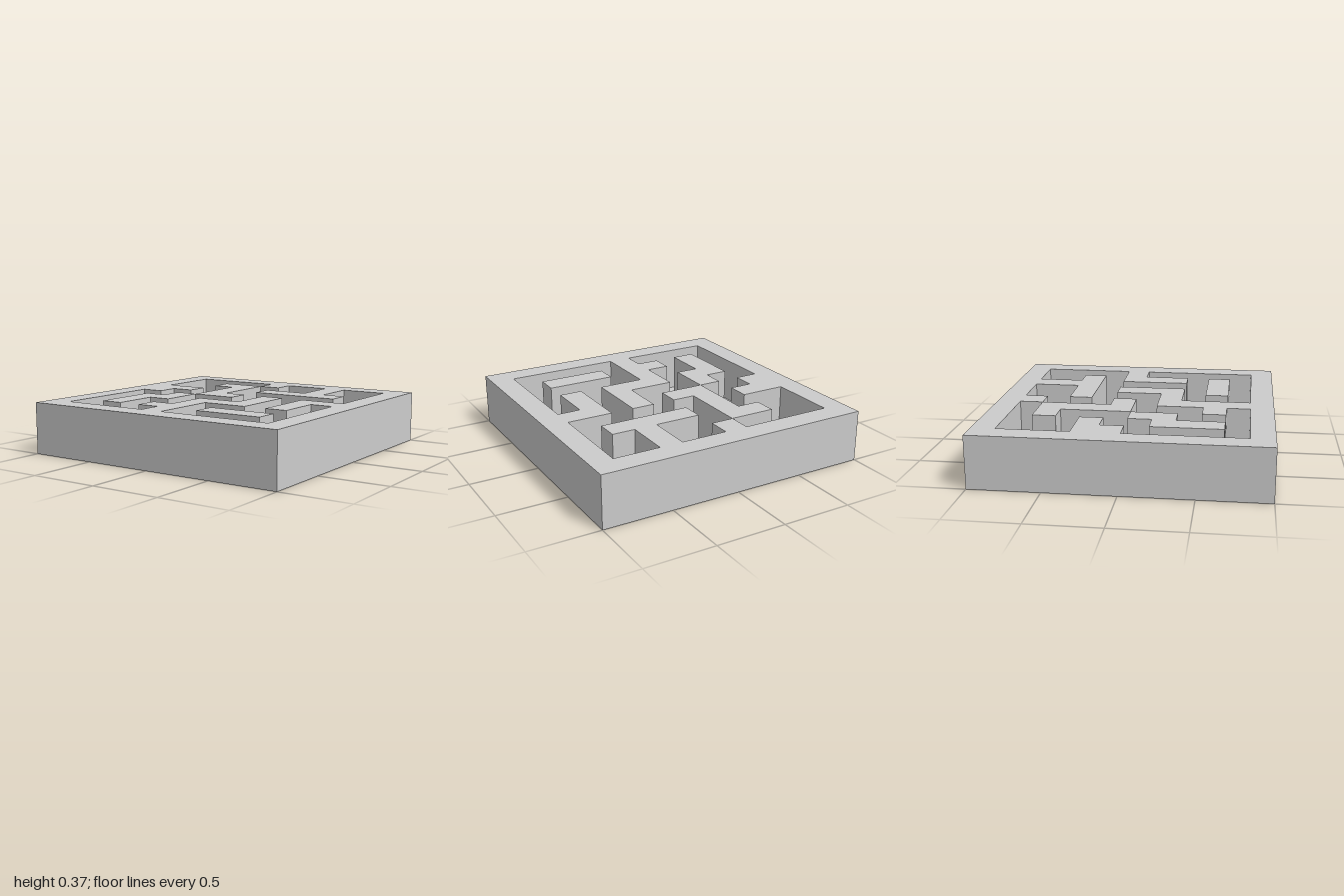
import * as THREE from 'three';
import { mergeGeometries } from 'three/addons/utils/BufferGeometryUtils.js';

// Plan of the maze: # is wall, . is passage; first row is the back, left column is -x
const PLAN = [
  '############',
  '#....#..#..#',
  '#..##...#..#',
  '#...#.####.#',
  '###.#......#',
  '##..##.#.###',
  '#..#...#.#.#',
  '#.##.###.#.#',
  '#.#..#.....#',
  '#.#.##.###.#',
  '#....#.....#',
  '############',
];
const CELL = 2 / PLAN.length;
const TOP = 0.372;
const FLOOR = 0.04;

// Horizontal rectangle facing up (or down)
function slab(w, x, y, z, up = true) {
  return new THREE.PlaneGeometry(w, w).rotateX(up ? -Math.PI / 2 : Math.PI / 2).translate(x, y, z);
}

// Upright rectangle facing the direction (dx, dz)
function upright(w, y0, y1, x, z, dx, dz) {
  return new THREE.PlaneGeometry(w, y1 - y0)
    .rotateY(Math.atan2(dx, dz))
    .translate(x, (y0 + y1) / 2, z);
}

export function createModel() {
  const group = new THREE.Group();
  group.name = 'mazeBlock';
  const material = new THREE.MeshStandardMaterial({ color: 0xcccccc, flatShading: true });
  const sides = [[1, 0], [-1, 0], [0, 1], [0, -1]];
  const tops = [], floors = [], walls = [];

  // One tile per cell, plus a wall face wherever wall meets passage
  PLAN.forEach((row, r) => [...row].forEach((mark, c) => {
    const x = -1 + (c + 0.5) * CELL;
    const z = -1 + (r + 0.5) * CELL;
    if (mark === '.') {
      floors.push(slab(CELL, x, FLOOR, z));
      return;
    }
    tops.push(slab(CELL, x, TOP, z));
    for (const [dx, dz] of sides) {
      if (PLAN[r + dz]?.[c + dx] === '.') {
        walls.push(upright(CELL, FLOOR, TOP, x + dx * CELL / 2, z + dz * CELL / 2, dx, dz));
      }
    }
  }));

  // Outer faces and underside of the block
  const shell = sides.map(([dx, dz]) => upright(2, 0, TOP, dx, dz, dx, dz));
  shell.push(slab(2, 0, 0, 0, false));

  const parts = { wallTops: tops, passageFloor: floors, passageWalls: walls, outerBlock: shell };
  for (const [name, pieces] of Object.entries(parts)) {
    const mesh = new THREE.Mesh(mergeGeometries(pieces), material);
    mesh.name = name;
    group.add(mesh);
  }
  return group;
}
